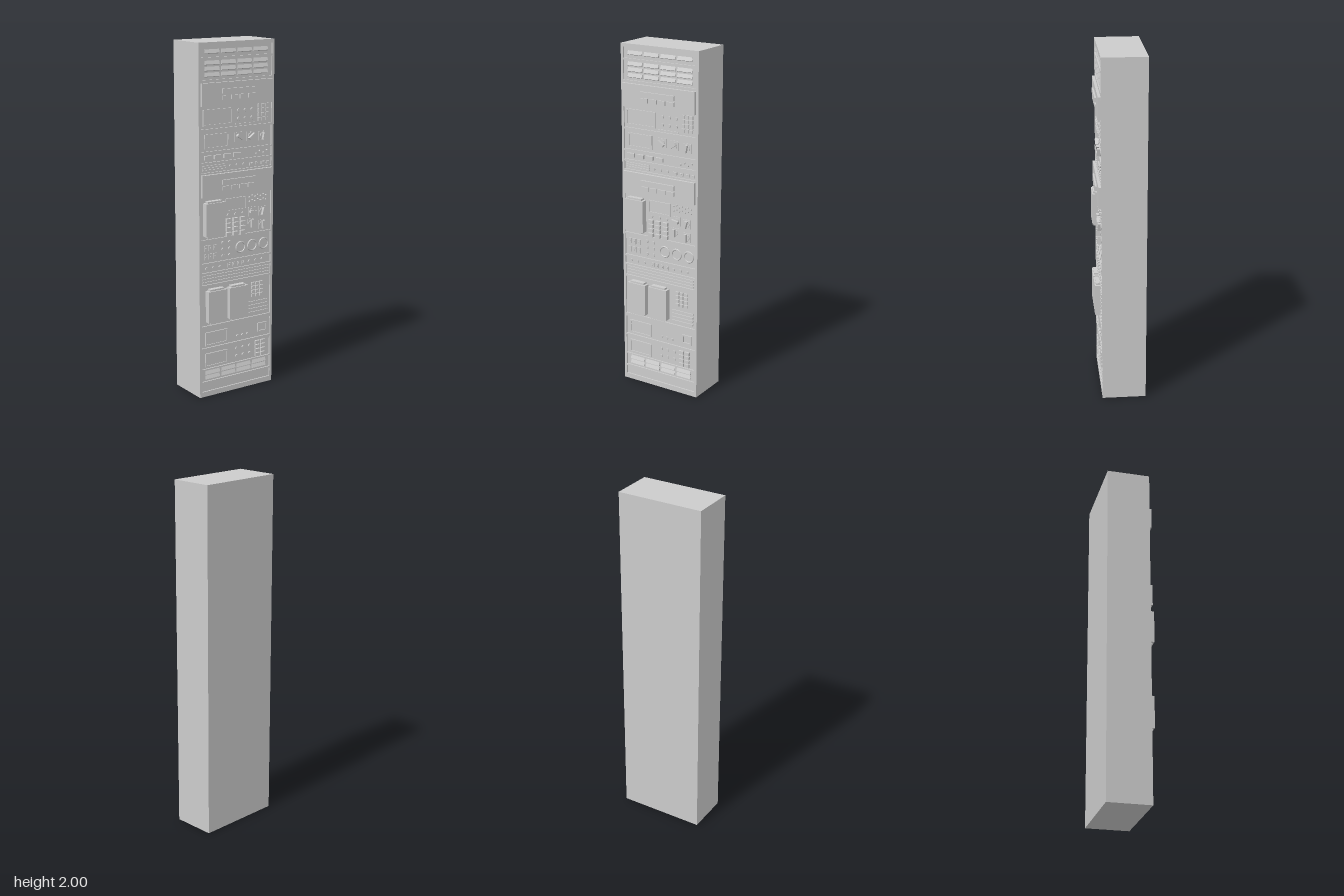
import * as THREE from 'three';

const FRONT = 0.11;   // front of the cabinet frame
const PANEL = 0.102;  // face of the recessed panels
const material = new THREE.MeshStandardMaterial({ color: 0xcccccc, flatShading: true });

export function createModel() {
  const rack = new THREE.Group();
  rack.name = 'equipmentRack';

  function add(name, geometry, x = 0, y = 0, z = 0) {
    const mesh = new THREE.Mesh(geometry, material);
    mesh.name = name;
    mesh.position.set(x, y, z);
    rack.add(mesh);
    return mesh;
  }
  // Box given by its front rectangle and depth range
  function block(name, x0, x1, y0, y1, z0, z1) {
    return add(name, new THREE.BoxGeometry(x1 - x0, y1 - y0, z1 - z0),
      (x0 + x1) / 2, (y0 + y1) / 2, (z0 + z1) / 2);
  }
  function rectangle(PathType, x0, x1, y0, y1) {
    return new PathType([[x0, y0], [x1, y0], [x1, y1], [x0, y1]].map(p => new THREE.Vector2(...p)));
  }
  // Rectangular rim, hollow in the middle
  function rim(name, x0, x1, y0, y1, t, z0, z1) {
    const shape = rectangle(THREE.Shape, x0, x1, y0, y1);
    shape.holes.push(rectangle(THREE.Path, x0 + t, x1 - t, y0 + t, y1 - t));
    add(name, new THREE.ExtrudeGeometry(shape, { depth: z1 - z0, bevelEnabled: false }), 0, 0, z0);
  }
  // Rows and columns of rectangular keys, centred on each grid point
  function keys(name, xs, ys, w, h, top = 0.114) {
    for (const x of xs) for (const y of ys)
      block(name, x - w / 2, x + w / 2, y - h / 2, y + h / 2, PANEL, top);
  }
  function knobs(name, xs, ys, r, top = 0.109) {
    for (const x of xs) for (const y of ys) {
      const g = new THREE.CylinderGeometry(r, r, top - PANEL, 8).rotateX(Math.PI / 2);
      add(name, g, x, y, (top + PANEL) / 2);
    }
  }
  function screen(x0, x1, y0, y1) {
    rim('screenRim', x0, x1, y0, y1, 0.008, PANEL, 0.109);
    block('screen', x0 + 0.008, x1 - 0.008, y0 + 0.008, y1 - 0.008, PANEL, 0.104);
  }
  // Sloping ventilation louvres, four to a row
  function louvres(ys) {
    const wedge = new THREE.Shape([[0, 0.012], [0.008, -0.008], [0, -0.012]]
      .map(p => new THREE.Vector2(...p)));
    for (const y of ys) for (let i = 0; i < 4; i++) {
      const g = new THREE.ExtrudeGeometry(wedge, { depth: 0.094, bevelEnabled: false })
        .translate(0, 0, -0.047).rotateY(-Math.PI / 2);
      add('louvre', g, -0.1605 + i * 0.107, y, PANEL);
    }
  }
  // Rotary switch: plate, round base and turned pointer
  function rotary(x, y, angle, size = 0.052) {
    block('switchPlate', x - size / 2, x + size / 2, y - size / 2, y + size / 2, PANEL, 0.106);
    knobs('switchBase', [x], [y], size * 0.38, 0.111);
    add('switchPointer', new THREE.BoxGeometry(0.014, size * 0.85, 0.018), x, y, 0.118).rotation.z = angle;
  }
  function slats(x0, x1, ys, h = 0.01) {
    for (const y of ys) block('slat', x0, x1, y - h / 2, y + h / 2, PANEL, 0.108);
  }
  // Raised cover with narrower end lugs
  function cover(x0, x1, y0, y1) {
    block('cover', x0, x1, y0, y1, PANEL, 0.137);
    block('coverLugs', x0 + 0.015, x1 - 0.015, y0 - 0.01, y1 + 0.01, PANEL, 0.13);
  }
  // Drawer front with handle and a row of keys
  function drawer(y0) {
    block('drawerFront', -0.237, 0.235, y0, y0 + 0.125, PANEL, 0.125);
    block('drawerHandle', -0.11, 0.11, y0 + 0.064, y0 + 0.09, 0.125, 0.135);
    keys('drawerKey', [-0.085, -0.028, 0.028, 0.085], [y0 + 0.042], 0.046, 0.024, 0.133);
  }

  // Cabinet and front frame, with one opening per panel
  block('cabinet', -0.25, 0.25, 0, 2, -0.14, PANEL);
  const face = rectangle(THREE.Shape, -0.25, 0.25, 0, 2);
  const openings = [[0.03, 0.08], [0.09, 0.16], [0.165, 0.28], [0.29, 0.4], [0.42, 0.65], [0.66, 0.72],
    [0.73, 0.775], [0.785, 0.91], [0.92, 1.15], [1.295, 1.342], [1.352, 1.402], [1.412, 1.525],
    [1.535, 1.65], [1.8, 1.91], [1.92, 1.98]];
  for (const [y0, y1] of openings) face.holes.push(rectangle(THREE.Path, -0.235, 0.235, y0, y1));
  add('frontFrame', new THREE.ExtrudeGeometry(face, { depth: FRONT - PANEL, bevelEnabled: false }), 0, 0, PANEL);

  // Ventilation panels
  louvres([1.95, 1.89, 1.858, 1.826, 0.14, 0.112]);
  drawer(1.66);
  drawer(1.16);

  // Monitor panel
  screen(-0.22, -0.025, 1.55, 1.64);
  knobs('monitorKnob', [0.015, 0.06, 0.105], [1.575, 1.62], 0.011);
  slats(-0.01, 0.12, [1.545], 0.008);
  keys('numberKey', [0.153, 0.178, 0.203], [1.562, 1.588, 1.613, 1.638], 0.021, 0.02, 0.111);

  // Tuner panel
  screen(-0.21, -0.05, 1.425, 1.505);
  rotary(0.015, 1.475, 1.0);
  rotary(0.095, 1.472, -0.95);
  rotary(0.177, 1.467, -0.2);

  // Switch strips
  keys('switchKey', [-0.19, -0.127, -0.064, 0], [1.378], 0.046, 0.022, 0.115);
  for (let i = 0; i < 4; i++) {
    knobs('toggle', [0.135 + i * 0.024], [1.37 + (i % 2) * 0.012], 0.006, 0.112);
  }
  slats(-0.225, -0.07, [1.307, 1.319, 1.331], 0.007);
  knobs('stripKnob', [-0.04, 0.005, 0.05], [1.318], 0.009);
  keys('stripKey', [0.1, 0.14, 0.18, 0.215], [1.315], 0.025, 0.016, 0.109);
  knobs('stripPin', [0.1, 0.14, 0.18, 0.215], [1.318], 0.004, 0.112);

  // Main control panel
  cover(-0.22, -0.095, 0.942, 1.128);
  screen(-0.075, 0.07, 1.06, 1.135);
  knobs('controlKnob', [-0.055, -0.005, 0.045], [1.04], 0.009);
  keys('controlKey', [-0.057, -0.01, 0.038], [0.933, 0.96, 0.986, 1.011], 0.032, 0.021, 0.118);
  for (let i = 0; i < 7; i++) {
    knobs('pin', [0.09 + i * 0.019], [1.1 + (i % 2) * 0.008, 1.125 + (i % 2) * 0.008], 0.005, 0.112);
  }
  rotary(0.107, 1.042, 1.4);
  rotary(0.177, 1.036, -0.25);
  rotary(0.1, 0.974, 0);
  rotary(0.177, 0.958, 0.05);

  // Gauge panel
  keys('socket', [-0.205, -0.175, -0.145], [0.82, 0.87], 0.02, 0.032, 0.108);
  knobs('socketPin', [-0.205, -0.175, -0.145], [0.82, 0.87], 0.005, 0.112);
  knobs('gaugeKnob', [-0.09, -0.045], [0.81, 0.848, 0.886], 0.01);
  for (const x of [0.03, 0.11, 0.19]) {
    const ring = new THREE.TorusGeometry(0.03, 0.005, 6, 20);
    add('gaugeRing', ring, x, 0.845, 0.104);
    add('gaugeFace', new THREE.CircleGeometry(0.03, 20), x, 0.845, 0.104);
  }

  // Indicator strip and slatted vent
  knobs('indicator', [-0.2, -0.155, -0.11, 0.09, 0.135, 0.18], [0.752], 0.009);
  keys('leverBase', [-0.05, -0.018, 0.015, 0.047], [0.752], 0.018, 0.024, 0.107);
  knobs('lever', [-0.05, -0.018, 0.015, 0.047], [0.753], 0.005, 0.114);
  slats(-0.225, 0.225, [0.672, 0.69, 0.708]);

  // Storage panel
  cover(-0.205, -0.083, 0.442, 0.625);
  cover(-0.063, 0.06, 0.442, 0.625);
  keys('storageKey', [0.117, 0.145, 0.173], [0.545, 0.568, 0.592, 0.615], 0.022, 0.018, 0.111);
  slats(0.08, 0.222, [0.442, 0.463, 0.484, 0.505]);

  // Lower display panels
  screen(-0.21, -0.06, 0.3, 0.38);
  knobs('displayKnob', [0.01, 0.045, 0.08], [0.32], 0.009);
  rim('displayPort', 0.15, 0.215, 0.315, 0.37, 0.009, PANEL, 0.109);
  screen(-0.21, -0.06, 0.175, 0.255);
  knobs('lowerKnob', [0.005, 0.05, 0.095], [0.2, 0.245], 0.01);
  keys('lowerKey', [0.147, 0.185], [0.182, 0.207, 0.232, 0.257], 0.03, 0.02, 0.114);

  return rack;
}
